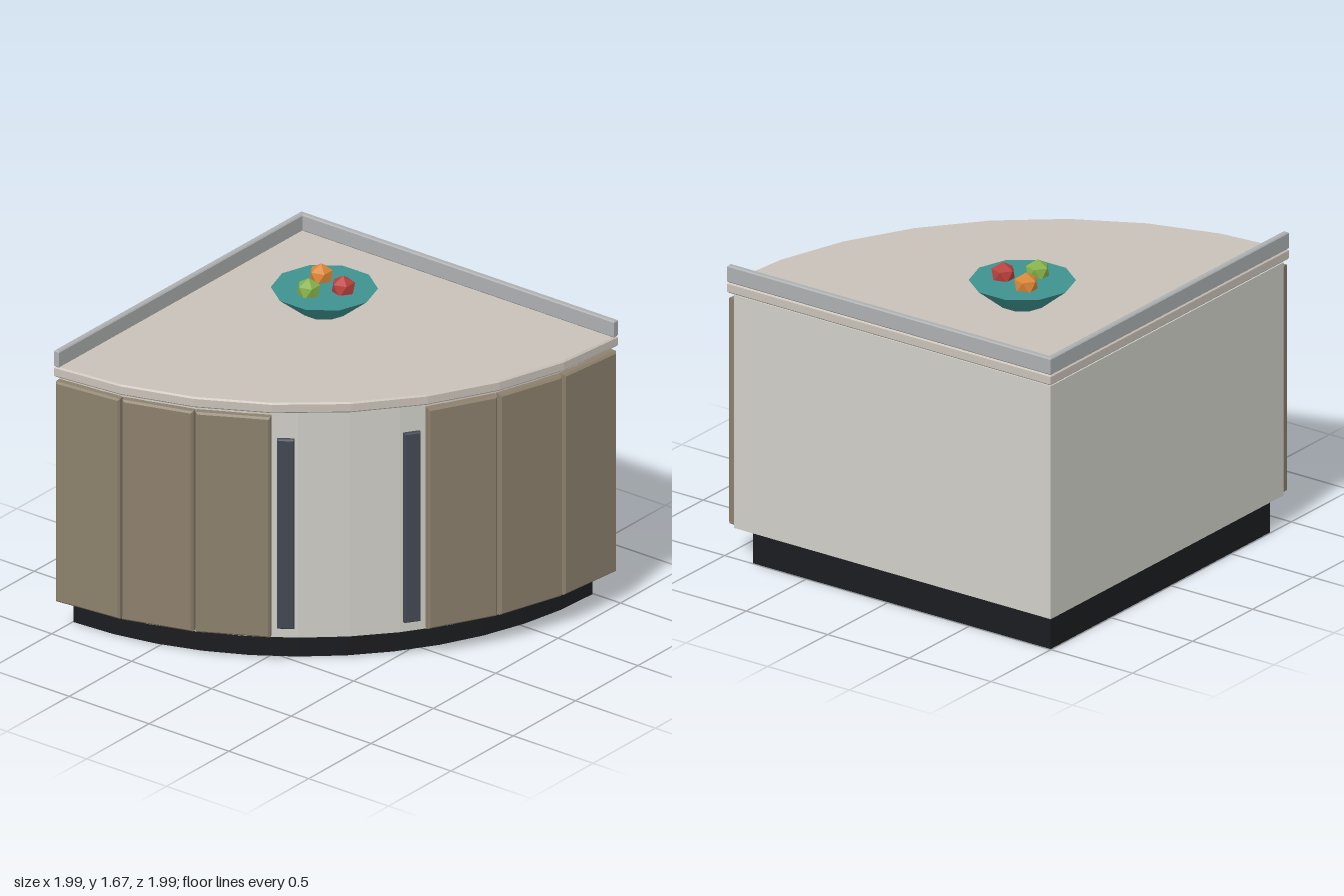
import * as THREE from 'three';

const C = -0.995;                 // back-left corner of the quarter circle
const R = 1.985;                  // outer radius of counter and doors
const STEP = Math.PI / 16;        // one door facet

const mat = (color) => new THREE.MeshStandardMaterial({ color, flatShading: true });

function add(parent, name, geometry, material) {
  const mesh = new THREE.Mesh(geometry, material);
  mesh.name = name;
  parent.add(mesh);
  return mesh;
}

// Quarter-circle outline; shape y becomes world z
function sector(radius, segments) {
  const points = [new THREE.Vector2(C, C)];
  for (let i = 0; i <= segments; i++) {
    const a = (i / segments) * Math.PI / 2;
    points.push(new THREE.Vector2(C + radius * Math.cos(a), C + radius * Math.sin(a)));
  }
  return new THREE.Shape(points);
}

// Horizontal slab from y0 to y1 with a small chamfer kept inside the outline
function slab(shape, y0, y1, bevel = 0) {
  const g = new THREE.ExtrudeGeometry(shape, {
    depth: y1 - y0 - 2 * bevel, bevelEnabled: bevel > 0,
    bevelThickness: bevel, bevelSize: bevel, bevelOffset: -bevel, bevelSegments: 1,
  });
  return g.rotateX(Math.PI / 2).translate(0, y1 - bevel, 0);
}

// Upright chamfered panel, centred, facing +z
function panel(w, h, d, bevel) {
  const s = new THREE.Shape();
  s.moveTo(-w / 2, -h / 2).lineTo(w / 2, -h / 2).lineTo(w / 2, h / 2).lineTo(-w / 2, h / 2);
  s.closePath();
  const g = new THREE.ExtrudeGeometry(s, {
    depth: d - 2 * bevel, bevelThickness: bevel, bevelSize: bevel, bevelOffset: -bevel, bevelSegments: 1,
  });
  return g.translate(0, 0, -d / 2 + bevel);
}

// Place a panel on the curved front; the angle runs from +z towards +x
function placeOnCurve(mesh, angle, radius, y) {
  mesh.position.set(C + radius * Math.sin(angle), y, C + radius * Math.cos(angle));
  mesh.rotation.y = angle;
}

export function createModel() {
  const model = new THREE.Group();
  model.name = 'cornerCabinet';

  // Plinth, carcass and worktop
  add(model, 'plinth', slab(sector(1.825, 12), 0, 0.16), mat(0x1b1c1f));
  add(model, 'carcass', slab(sector(1.94, 12), 0.16, 1.41), mat(0xcfcec7));
  add(model, 'worktop', slab(sector(R, 8), 1.41, 1.467, 0.008), mat(0xc8c1b8));

  // Raised L-shaped edge along the two walls
  const e = C + R, t = C + 0.033;
  const edge = new THREE.Shape([[C, C], [e, C], [e, t], [t, t], [t, e], [C, e]]
    .map(([x, z]) => new THREE.Vector2(x, z)));
  add(model, 'backsplash', slab(edge, 1.467, 1.557, 0.006), mat(0xacafb0));

  // Three flat doors on each side of the open middle
  const doors = new THREE.Group();
  doors.name = 'doors';
  model.add(doors);
  const doorGeo = panel(0.375, 1.21, 0.05, 0.01);
  const doorMat = mat(0x8c806c);
  for (const i of [0, 1, 2, 5, 6, 7]) {
    const door = add(doors, 'door', doorGeo, doorMat);
    placeOnCurve(door, (i + 0.5) * STEP, R * Math.cos(STEP / 2) - 0.025, 0.78);
  }

  // Upright handles beside the inner doors
  const handles = new THREE.Group();
  handles.name = 'handles';
  model.add(handles);
  const handleGeo = panel(0.086, 1.04, 0.034, 0.006);
  const handleMat = mat(0x434852);
  for (const side of [-1, 1]) {
    const handle = add(handles, 'handle', handleGeo, handleMat);
    placeOnCurve(handle, Math.PI / 4 + side * 0.162, 1.943, 0.735);
  }

  // Bowl with three fruits
  const bowl = add(model, 'bowl', new THREE.CylinderGeometry(0.265, 0.118, 0.12, 10), mat(0x3f9290));
  bowl.position.set(-0.335, 1.527, -0.335);
  bowl.rotation.y = Math.PI / 10;
  const fruitGeo = new THREE.IcosahedronGeometry(0.065, 0).rotateZ(Math.atan(2 / (1 + Math.sqrt(5))));
  const fruits = [
    ['orangeFruit', 0xd98536, -0.41, -0.405],
    ['redFruit', 0xb8403c, -0.24, -0.365],
    ['greenFruit', 0x86b04a, -0.357, -0.237],
  ];
  for (const [name, color, x, z] of fruits) {
    add(model, name, fruitGeo, mat(color)).position.set(x, 1.606, z);
  }
  return model;
}
